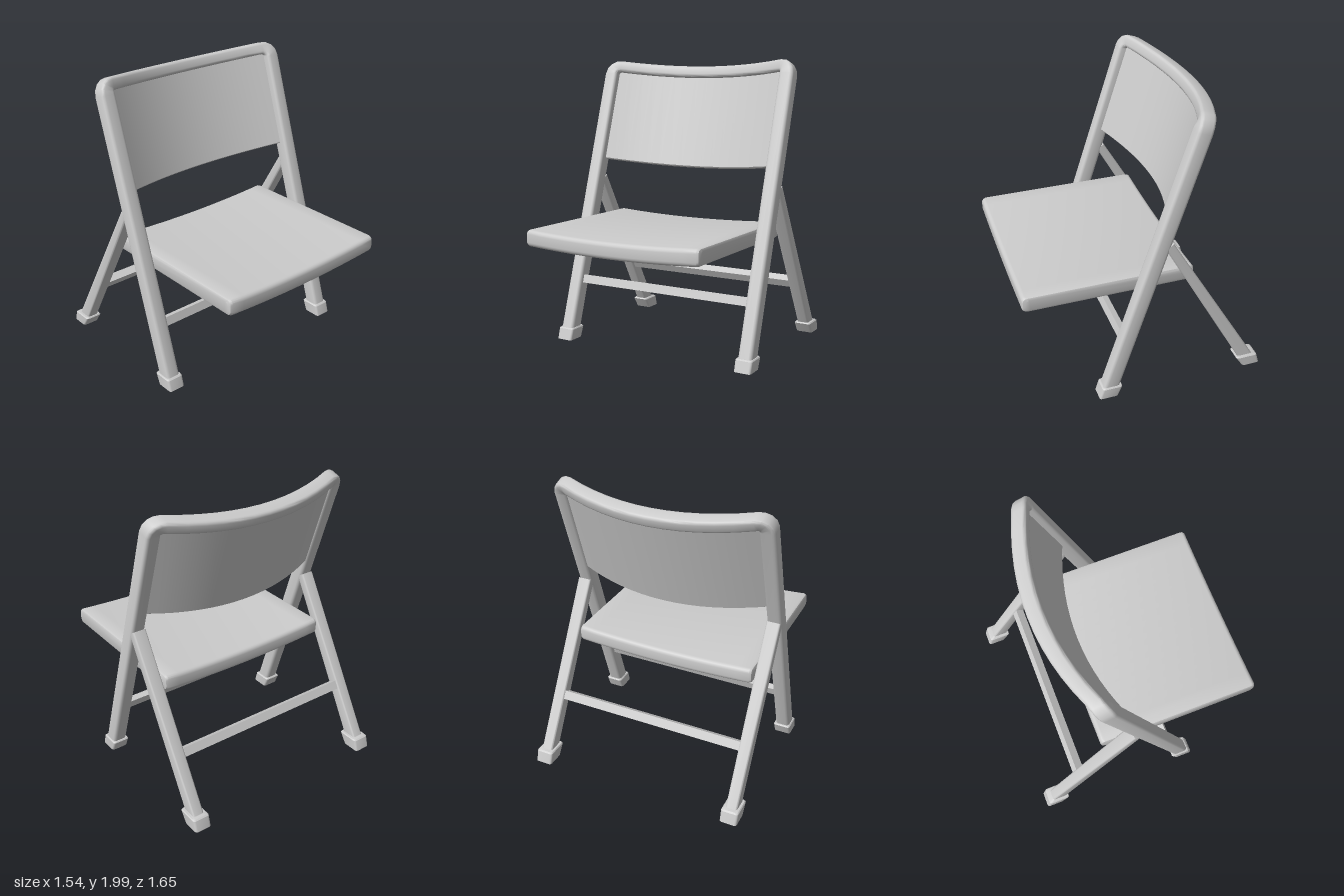
import * as THREE from 'three';
import { toCreasedNormals } from 'three/addons/utils/BufferGeometryUtils.js';

const V = (x, y, z) => new THREE.Vector3(x, y, z);
const X = V(1, 0, 0), Y = V(0, 1, 0), Z = V(0, 0, 1);
const LEAN = 0.31;      // backward tilt of the front frame
const HALF = 0.71;      // centre line of the legs
const BULGE = 0.165;    // depth of the backrest curve
const material = new THREE.MeshStandardMaterial({ color: 0xcccccc });

// Closed loft through rounded rectangles { c, u, v, a, b }; u x v points along the travel.
function loft(sections, r, seg = 3) {
  const pos = [], index = [], n = 4 * (seg + 1);
  for (const { c, u, v, a, b } of sections) {
    for (let q = 0; q < 4; q++) {
      const su = q === 0 || q === 3 ? 1 : -1, sv = q < 2 ? 1 : -1;
      for (let k = 0; k <= seg; k++) {
        const t = (q + k / seg) * Math.PI / 2;
        const p = c.clone()
          .addScaledVector(u, su * (a - r) + r * Math.cos(t))
          .addScaledVector(v, sv * (b - r) + r * Math.sin(t));
        pos.push(p.x, p.y, p.z);
      }
    }
  }
  const last = sections.length - 1;
  for (let i = 0; i < last; i++) {
    for (let j = 0; j < n; j++) {
      const p = i * n + j, q = i * n + (j + 1) % n;
      index.push(p, q, q + n, p, q + n, p + n);
    }
  }
  for (let j = 1; j < n - 1; j++) {
    index.push(0, j + 1, j, last * n, last * n + j, last * n + j + 1);
  }
  const g = new THREE.BufferGeometry();
  g.setAttribute('position', new THREE.Float32BufferAttribute(pos, 3));
  g.setIndex(index);
  return toCreasedNormals(g, 0.6);
}

function add(parent, name, geometry) {
  const mesh = new THREE.Mesh(geometry, material);
  mesh.name = name;
  parent.add(mesh);
  return mesh;
}

const curveZ = x => -BULGE * (1 - (x / HALF) ** 2);

// Front legs and top rail as one bent tube, in the leaning plane
function frameGeometry() {
  const R = 0.065, top = 2.05, back = V(0, 0, -1), half = [];
  half.push({ c: V(HALF, 0.04, 0), u: X, v: back, a: 0.05, b: 0.053 });
  for (let i = 0; i <= 4; i++) {
    const t = i / 4 * Math.PI / 2, x = HALF - R + R * Math.cos(t);
    half.push({
      c: V(x, top - R + R * Math.sin(t), curveZ(x)),
      u: V(Math.cos(t), Math.sin(t), 0), v: back, a: 0.05 - 0.0075 * i / 4, b: 0.053,
    });
  }
  for (let i = 1; i <= 6; i++) {
    const x = (HALF - R) * (1 - i / 6);
    half.push({ c: V(x, top, curveZ(x)), u: Y, v: back, a: 0.0425, b: 0.053 });
  }
  const mirrored = half.slice(0, -1).reverse().map(s => ({
    ...s, c: V(-s.c.x, s.c.y, s.c.z), u: V(-s.u.x, s.u.y, 0),
  }));
  return loft([...half, ...mirrored], 0.022);
}

// Curved backrest sheet filling the upper frame
function backrestGeometry() {
  const sections = [];
  for (let i = 0; i <= 16; i++) {
    const x = -0.67 + 1.34 * i / 16;
    sections.push({ c: V(x, 1.69, curveZ(x)), u: Y, v: Z, a: 0.345, b: 0.0225 });
  }
  return loft(sections, 0.005, 1);
}

// Slightly dished seat slab with rounded edges
function seatGeometry() {
  const sections = [];
  const slice = (x, inset) => sections.push({
    c: V(x, 0.825 - 0.024 * (1 - (x / 0.65) ** 2), 0.25),
    u: Y, v: Z, a: 0.056 - inset, b: 0.58 - inset,
  });
  slice(-0.65, 0.02);
  slice(-0.644, 0.006);
  for (let i = 0; i <= 14; i++) slice(-0.63 + 1.26 * i / 14, 0);
  slice(0.644, 0.006);
  slice(0.65, 0.02);
  return loft(sections, 0.03, 4);
}

function rearLegGeometry(x) {
  const v = V(0, -0.498, 0.867);
  return loft([
    { c: V(x, 1.14, -0.107), u: X, v, a: 0.048, b: 0.031 },
    { c: V(x, 0.04, -0.738), u: X, v, a: 0.04, b: 0.048 },
  ], 0.012);
}

// Foot cap, sheared to follow its leg
function footGeometry(x, z0, b0, z1, b1) {
  return loft([
    { c: V(x, 0, z0), u: Z, v: X, a: b0, b: 0.06 },
    { c: V(x, 0.074, z1 + (z0 - z1) * 0.07), u: Z, v: X, a: b1, b: 0.061 },
    { c: V(x, 0.082, z1), u: Z, v: X, a: b1 - 0.008, b: 0.055 },
  ], 0.016);
}

export function createModel() {
  const model = new THREE.Group();
  model.name = 'foldingChair';

  const front = new THREE.Group();
  front.name = 'frontFrame';
  front.position.z = 0.3;
  front.rotation.x = -LEAN;
  model.add(front);
  add(front, 'frameTube', frameGeometry());
  add(front, 'backrest', backrestGeometry());

  add(model, 'seat', seatGeometry());

  for (const [s, side] of [[1, 'left'], [-1, 'right']]) {
    add(model, side + 'RearLeg', rearLegGeometry(s * HALF));
    add(model, side + 'FrontFoot', footGeometry(s * HALF, 0.3, 0.066, 0.272, 0.07));
    add(model, side + 'RearFoot', footGeometry(s * HALF, -0.76, 0.065, -0.722, 0.078));
  }

  // Crossbars between each pair of legs
  const frontBar = add(model, 'frontCrossbar', new THREE.BoxGeometry(1.34, 0.06, 0.045));
  frontBar.position.set(0, 0.415, 0.165);
  frontBar.rotation.x = -LEAN;
  const rearBar = add(model, 'rearCrossbar', new THREE.BoxGeometry(1.36, 0.06, 0.06));
  rearBar.position.set(0, 0.415, -0.527);
  rearBar.rotation.x = 0.521;

  return model;
}
